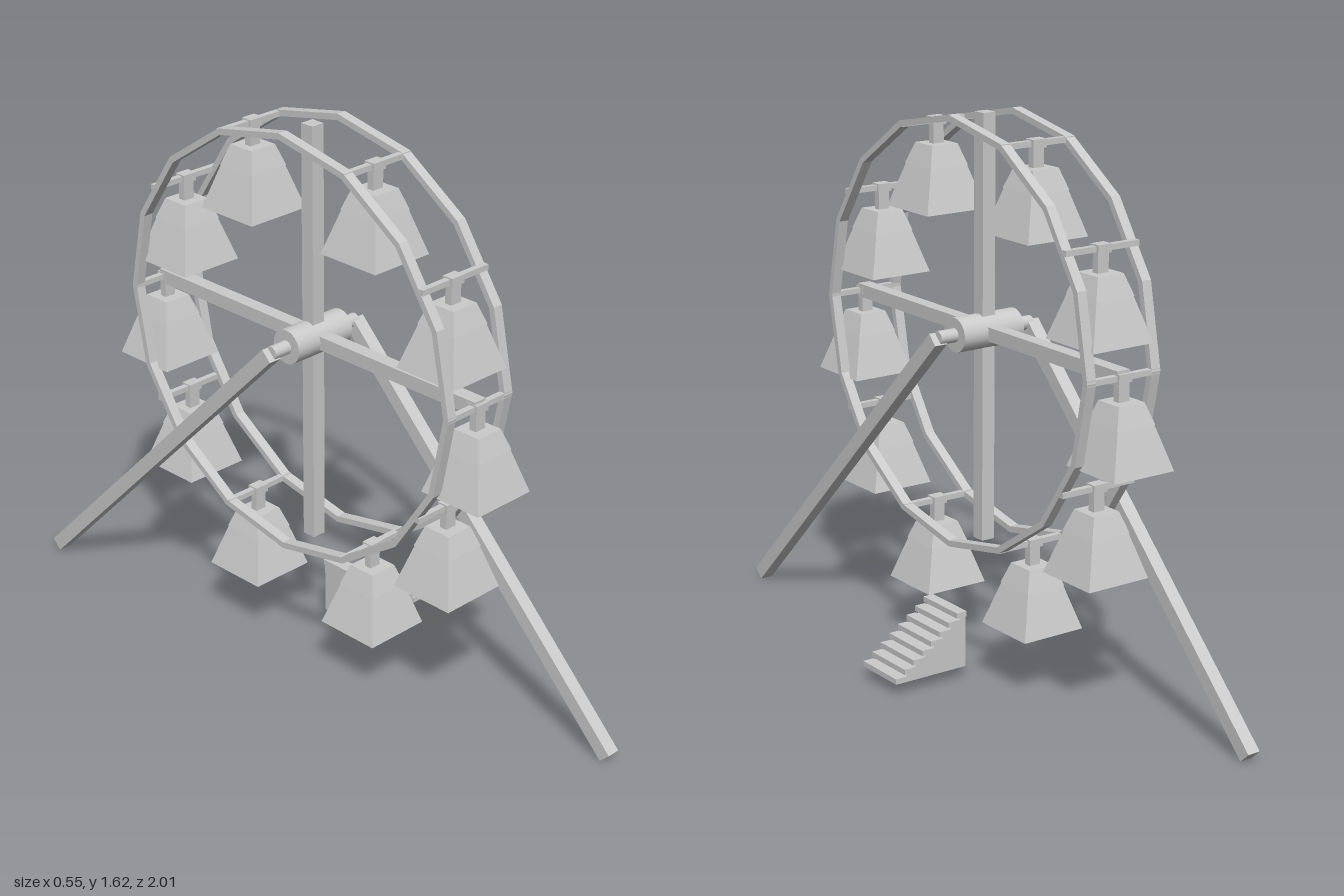
import * as THREE from 'three';

const grey = new THREE.MeshStandardMaterial({ color: 0xcccccc, flatShading: true });
const smooth = new THREE.MeshStandardMaterial({ color: 0xcccccc });

function add(parent, name, geometry, x = 0, y = 0, z = 0, material = grey) {
  const mesh = new THREE.Mesh(geometry, material);
  mesh.name = name;
  mesh.position.set(x, y, z);
  parent.add(mesh);
  return mesh;
}

const box = (w, h, d) => new THREE.BoxGeometry(w, h, d);

// Square frustum given by half-widths at the top and bottom
function frustum(top, bottom, height) {
  return new THREE.CylinderGeometry(top * Math.SQRT2, bottom * Math.SQRT2, height, 4).rotateY(Math.PI / 4);
}

// Sixteen-sided rim with a rectangular section, axis along x
function rimGeometry(inner, outer, width) {
  const h = width / 2;
  const section = [[outer, -h], [outer, h], [inner, h], [inner, -h], [outer, -h]];
  return new THREE.LatheGeometry(section.map(([r, y]) => new THREE.Vector2(r, y)), 16).rotateZ(Math.PI / 2);
}

// Cabin hanging below its crossbar
function createCabin() {
  const cabin = new THREE.Group();
  cabin.name = 'cabin';
  add(cabin, 'crossbar', box(0.245, 0.016, 0.018));
  add(cabin, 'hangerClamp', box(0.045, 0.024, 0.034));
  add(cabin, 'hangerPost', box(0.036, 0.07, 0.022), 0, -0.035);
  add(cabin, 'cabinRoof', frustum(0.043, 0.064, 0.06), 0, -0.095);
  add(cabin, 'cabinBody', frustum(0.062, 0.101, 0.125), 0, -0.1875);
  return cabin;
}

// Stairs descending towards +x
function createStairs() {
  const stairs = new THREE.Group();
  stairs.name = 'stairs';
  const steps = 8, run = 0.03, rise = 0.0215, width = 0.168;
  const side = new THREE.Shape();
  side.moveTo(0, 0);
  side.lineTo(steps * run - 0.01, 0);
  side.lineTo(0, steps * rise - 0.01);
  side.closePath();
  const wedge = new THREE.ExtrudeGeometry(side, { depth: width - 0.008, bevelEnabled: false });
  add(stairs, 'stairBase', wedge, 0, 0, -(width - 0.008) / 2);
  for (let i = 0; i < steps; i++) {
    add(stairs, 'tread', box(run + 0.004, 0.016, width), (i + 0.5) * run, (steps - i) * rise - 0.008 - 0.003);
  }
  return stairs;
}

export function createModel() {
  const model = new THREE.Group();
  model.name = 'ferrisWheel';

  // Everything shares a slight turn about the vertical
  const ride = new THREE.Group();
  ride.name = 'ride';
  ride.position.x = -0.09;
  ride.rotation.y = -0.07;
  model.add(ride);

  // Wheel: rims, spokes and hub
  const wheel = new THREE.Group();
  wheel.name = 'wheel';
  wheel.position.y = 1;
  ride.add(wheel);
  for (const s of [-1, 1]) add(wheel, 'rim', rimGeometry(0.602, 0.62, 0.03), s * 0.108);
  add(wheel, 'verticalSpoke', box(0.042, 1.235, 0.042));
  add(wheel, 'horizontalSpoke', box(0.042, 0.04, 1.235));
  add(wheel, 'hub', new THREE.CylinderGeometry(0.05, 0.05, 0.205, 24).rotateZ(Math.PI / 2), 0, 0, 0, smooth);
  add(wheel, 'axle', new THREE.CylinderGeometry(0.02, 0.02, 0.32, 16).rotateZ(Math.PI / 2), 0, 0, 0, smooth);

  // Ten cabins, five on each side
  for (const degrees of [22.5, 57.5, 90, 122.5, 157.5]) {
    const a = THREE.MathUtils.degToRad(degrees);
    for (const s of [-1, 1]) {
      const cabin = createCabin();
      cabin.position.set(0, 0.61 * Math.cos(a), s * 0.61 * Math.sin(a));
      wheel.add(cabin);
    }
  }

  // One sloping leg on each side, running opposite ways
  for (const s of [-1, 1]) {
    const leg = add(ride, s > 0 ? 'frontLeg' : 'backLeg', box(0.04, 0.98 * Math.SQRT2, 0.042), s * 0.16, 0.508, s * 0.488);
    leg.rotation.x = -s * Math.PI / 4;
  }

  // Boarding stairs
  const stairs = createStairs();
  stairs.position.set(0.122, 0.04, 0);
  ride.add(stairs);

  return model;
}
